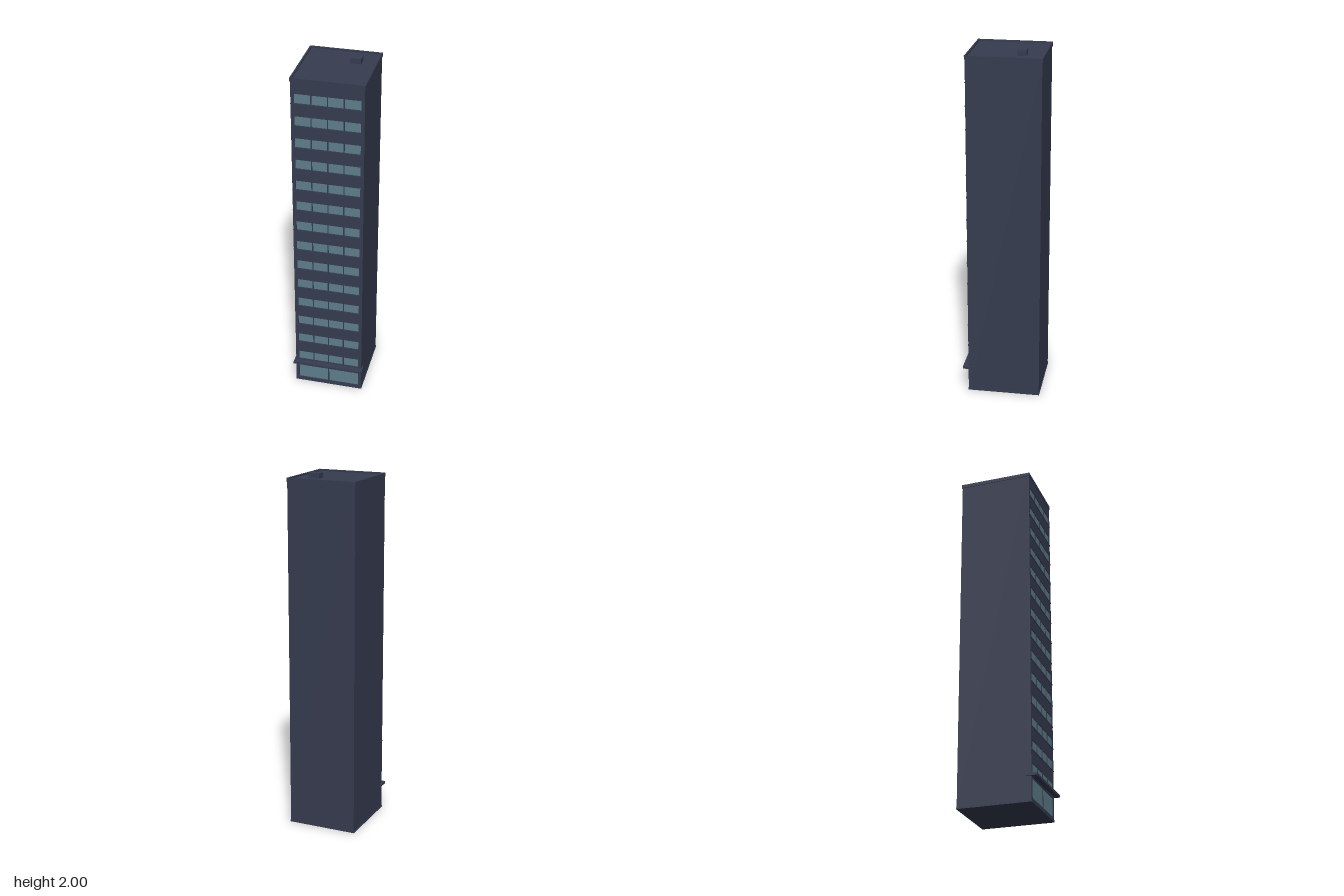
import * as THREE from 'three';

export function createModel() {
  const tower = new THREE.Group();
  tower.name = 'officeTower';
  const wall = new THREE.MeshStandardMaterial({ color: 0x363c50 });
  wall.name = 'slate wall';
  const glass = new THREE.MeshStandardMaterial({ color: 0x5e7e8b });
  glass.name = 'blue grey glass';

  // Box given by its minimum and maximum on each axis
  function box(name, mat, x0, x1, y0, y1, z0, z1, parent = tower) {
    const mesh = new THREE.Mesh(new THREE.BoxGeometry(x1 - x0, y1 - y0, z1 - z0), mat);
    mesh.position.set((x0 + x1) / 2, (y0 + y1) / 2, (z0 + z1) / 2);
    mesh.name = name;
    parent.add(mesh);
    return mesh;
  }

  const HALF = 0.197, BACK = -0.22, CORE = 0.183, FACE = 0.19;
  const FLOORS = 14, PITCH = 0.129, SILL = 0.16, WIN_H = 0.054;

  // Main shaft and base plinth
  box('shaft', wall, -HALF, HALF, 0, 1.97, BACK, CORE);
  box('plinth', wall, -0.199, 0.199, 0, 0.01, BACK - 0.002, FACE + 0.002);

  // Facade grid: edge piers, floor bands and mullions around recessed glass
  const facade = new THREE.Group();
  facade.name = 'facade';
  tower.add(facade);
  for (const s of [-1, 1]) {
    box('edgePier', wall, Math.min(s * 0.178, s * HALF), Math.max(s * 0.178, s * HALF), 0, 1.97, CORE, FACE, facade);
  }
  box('groundBand', wall, -0.178, 0.178, 0.01, 0.024, CORE, FACE, facade);
  box('canopyBand', wall, -0.178, 0.178, 0.13, SILL, CORE, FACE, facade);
  for (let i = 0; i < FLOORS; i++) {
    const y = SILL + i * PITCH;
    const top = y + WIN_H;
    const next = i === FLOORS - 1 ? 1.97 : y + PITCH;
    box('floorBand', wall, -0.178, 0.178, top, next, CORE, FACE, facade);
    box('sill', wall, -HALF, HALF, y - 0.005, y, CORE, FACE + 0.003, facade);
    box('windowStrip', glass, -0.178, 0.178, y, top, CORE, FACE - 0.004, facade);
    for (const x of [-0.0885, 0, 0.0885]) {
      box('mullion', wall, x - 0.003, x + 0.003, y, top, CORE, FACE, facade);
    }
  }

  // Street level shop windows
  box('shopWindow', glass, -0.178, 0.178, 0.024, 0.13, CORE, FACE - 0.004, facade);
  box('shopMullion', wall, -0.003, 0.003, 0.024, 0.13, CORE, FACE, facade);

  // Canopy wrapping the front corners, with a small central plate
  box('canopy', wall, -0.205, 0.205, 0.138, 0.152, 0.163, 0.222);
  box('canopyPlate', wall, -0.027, 0.027, 0.14, 0.15, 0.222, 0.224);

  // Parapet ring around the sunken roof
  const ring = new THREE.Shape();
  ring.moveTo(-0.2, -0.193).lineTo(0.2, -0.193).lineTo(0.2, 0.224).lineTo(-0.2, 0.224).closePath();
  const hole = new THREE.Path();
  hole.moveTo(-0.19, -0.184).lineTo(-0.19, 0.216).lineTo(0.19, 0.216).lineTo(0.19, -0.184).closePath();
  ring.holes.push(hole);
  const parapet = new THREE.Mesh(new THREE.ExtrudeGeometry(ring, { depth: 0.021, bevelEnabled: false }), wall);
  parapet.rotation.x = -Math.PI / 2;
  parapet.position.y = 1.959;
  parapet.name = 'parapet';
  tower.add(parapet);

  // Rooftop plant box
  box('roofUnit', wall, 0.055, 0.116, 1.965, 2, -0.124, -0.073);

  return tower;
}
